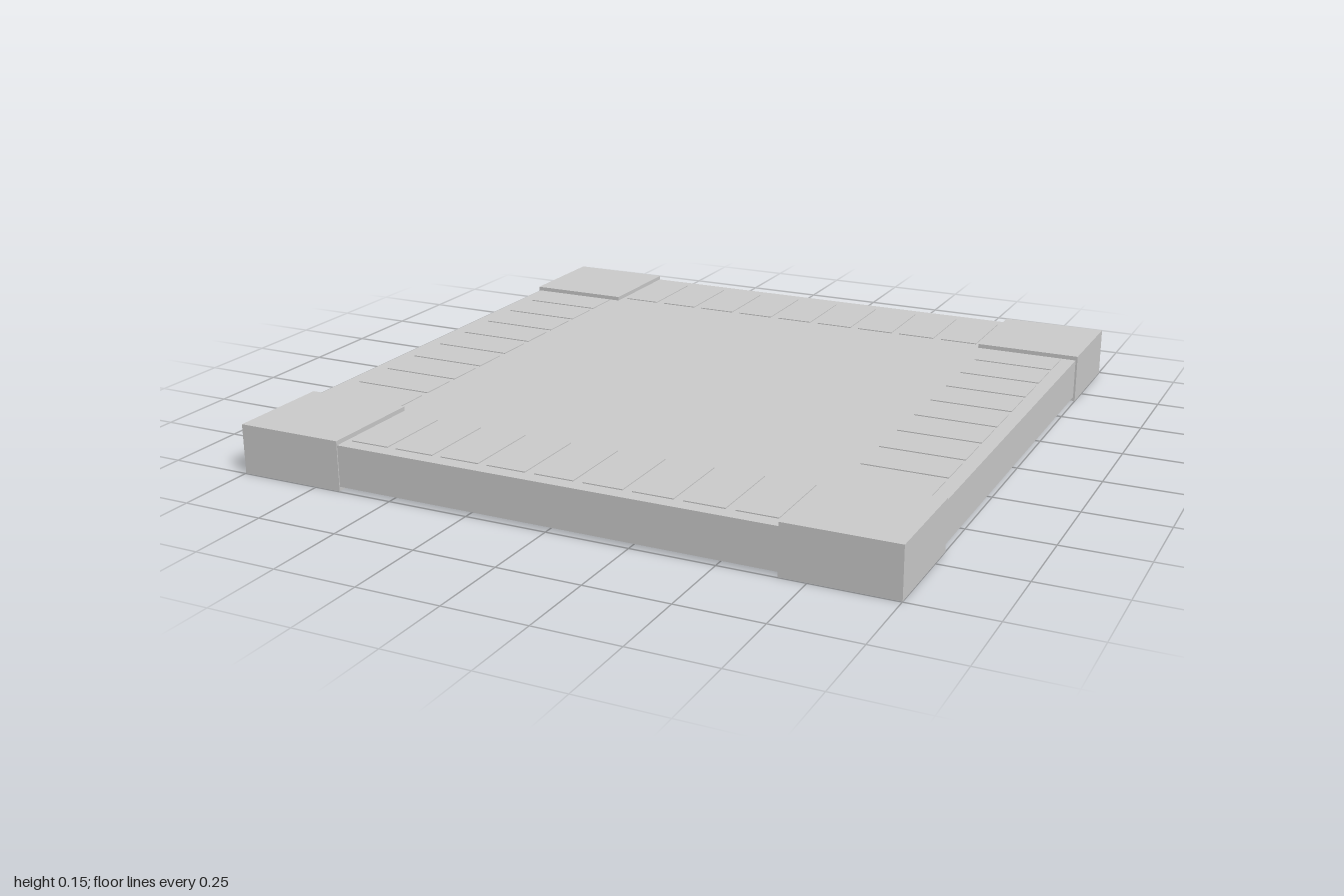
import * as THREE from 'three';

export function createModel() {
  const model = new THREE.Group();
  const material = new THREE.MeshStandardMaterial({ color: 0xcccccc, flatShading: true });

  function addBox(parent, name, w, h, d, x, y, z) {
    const mesh = new THREE.Mesh(new THREE.BoxGeometry(w, h, d), material);
    mesh.name = name;
    mesh.position.set(x, y, z);
    parent.add(mesh);
  }

  // Square board slab
  addBox(model, 'board', 1.988, 0.124, 1.988, 0, 0.075, 0);

  // Thicker corner blocks, standing slightly proud of the slab all round
  for (const x of [-1, 1]) {
    for (const z of [-1, 1]) {
      addBox(model, 'cornerBlock', 0.33, 0.15, 0.33, x * 0.835, 0.075, z * 0.832);
    }
  }

  // A row of nine thin raised tiles along each side
  const pitch = 0.148;
  for (let side = 0; side < 4; side++) {
    const row = new THREE.Group();
    row.name = 'tileRow';
    row.rotation.y = side * Math.PI / 2;
    for (let i = -4; i <= 4; i++) {
      addBox(row, 'tile', 0.12, 0.006, 0.25, i * pitch, 0.137, 0.825);
    }
    model.add(row);
  }

  return model;
}
